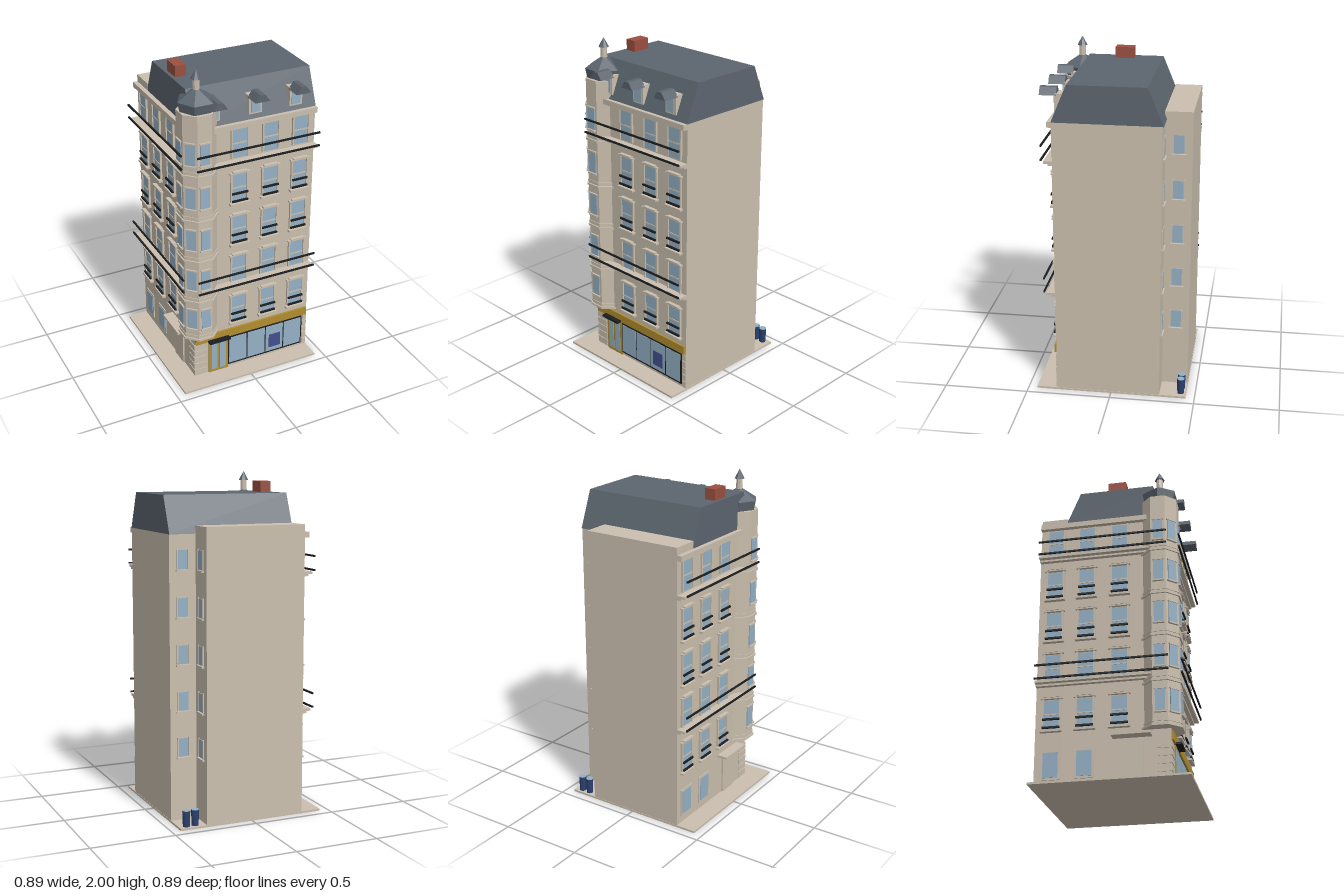
import * as THREE from 'three';

const mat = (name, color) => Object.assign(new THREE.MeshStandardMaterial({ color }), { name });

export function createModel() {
  const root = new THREE.Group();
  root.name = 'cornerBuilding';
  const stone = mat('stone', 0xcabfae), slate = mat('slate', 0x5c656f), glass = mat('glass', 0x94b0c4);
  const gold = mat('gold', 0xb08d2f), black = mat('black iron', 0x1c1e20), brick = mat('brick', 0x9a5040);
  const blue = mat('poster blue', 0x414f8e), navy = mat('bin navy', 0x2b4070);

  const add = (name, geo, m, x = 0, y = 0, z = 0) => {
    const mesh = new THREE.Mesh(geo, m);
    mesh.name = name;
    mesh.position.set(x, y, z);
    root.add(mesh);
    return mesh;
  };
  // Box from its min/max corners; left = true reflects it onto the left street side
  const box = (name, m, [x0, x1], [y0, y1], [z0, z1], left = false) => {
    if (left) [x0, x1, z0, z1] = [-z1, -z0, -x1, -x0];
    return add(name, new THREE.BoxGeometry(x1 - x0, y1 - y0, z1 - z0), m,
      (x0 + x1) / 2, (y0 + y1) / 2, (z0 + z1) / 2);
  };
  // Flat-sided drum
  const drum = (name, m, sides, rTop, rBottom, y0, y1, x, z, turn = 0) => {
    const g = new THREE.CylinderGeometry(rTop, rBottom, y1 - y0, sides).rotateY(turn).toNonIndexed();
    g.computeVertexNormals();
    return add(name, g, m, x, (y0 + y1) / 2, z);
  };
  // Prism with a z/y outline swept along x, or an x/y outline swept along z
  const prism = (name, m, points, from, to, alongX) => {
    const shape = new THREE.Shape(points.map(([a, b]) => new THREE.Vector2(alongX ? -a : a, b)));
    const g = new THREE.ExtrudeGeometry(shape, { depth: to - from, bevelEnabled: false });
    g.translate(0, 0, from);
    if (alongX) g.rotateY(Math.PI / 2);
    return add(name, g, m);
  };

  // Ground, main block and rear wing
  box('pavement', stone, [-0.447, 0.447], [0, 0.012], [-0.447, 0.447]);
  box('mainBlock', stone, [-0.325, 0.445], [0.01, 1.665], [-0.29, 0.325]);
  box('rearWing', stone, [-0.325, 0.285], [0.01, 1.71], [-0.445, -0.285]);

  // Mansard roof and chimney
  prism('mansardRoof', slate, [[0.33, 1.665], [0.24, 1.88], [-0.208, 1.88], [-0.297, 1.665]], -0.325, 0.445, true);
  box('chimney', brick, [-0.305, -0.24], [1.87, 1.945], [-0.04, 0.07]);

  // Dormers
  for (const x of [-0.195, 0.061, 0.317]) {
    box('dormer', stone, [x - 0.04, x + 0.04], [1.695, 1.805], [0.24, 0.325]);
    box('dormerGlass', glass, [x - 0.028, x + 0.028], [1.705, 1.79], [0.324, 0.329]);
    prism('dormerRoof', slate, [[x - 0.045, 1.795], [x + 0.045, 1.795], [x + 0.015, 1.837], [x - 0.015, 1.837]],
      0.313, 0.41, false);
  }

  // Street facades, the left one a reflection of the front
  const W = 0.325;
  const columns = [-0.037, 0.16, 0.352];
  const floors = [0.35, 0.63, 0.9, 1.17, 1.45];
  for (const left of [false, true]) {
    for (const x of columns) {
      floors.forEach((y, i) => {
        box('windowGlass', glass, [x - 0.045, x + 0.045], [y, y + 0.175], [W, W + 0.005], left);
        box('windowTransom', stone, [x - 0.045, x + 0.045], [y + 0.085, y + 0.093], [W, W + 0.008], left);
        for (const s of [-1, 1]) {
          const c = x + s * 0.05;
          box('windowJamb', stone, [c - 0.005, c + 0.005], [y, y + 0.18], [W, W + 0.012], left);
        }
        if (i === 4) return;
        box('windowHood', stone, [x - 0.063, x + 0.063], [y + 0.18, y + 0.188], [W, W + 0.018], left);
        box('windowHoodTop', stone, [x - 0.045, x + 0.045], [y + 0.188, y + 0.196], [W, W + 0.022], left);
        if (i === 1) return;
        box('windowSill', stone, [x - 0.062, x + 0.062], [y - 0.018, y - 0.006], [W, W + 0.025], left);
        for (const r of [0.003, 0.052])
          box('windowRail', black, [x - 0.05, x + 0.05], [y + r, y + r + 0.011], [W + 0.012, W + 0.022], left);
      });
      // Short rails above the lower long balcony are replaced by its continuous ones
    }
    // Long balconies
    for (const y of [0.62, 1.425]) {
      box('balconySlab', stone, [-0.325, 0.445], [y, y + 0.014], [W - 0.01, 0.377], left);
      box('balconyBracket', stone, [-0.325, 0.445], [y - 0.012, y], [W - 0.01, 0.35], left);
      for (const r of [0.016, 0.097])
        box('balconyRail', black, [-0.325, 0.445], [y + r, y + r + 0.01], [0.386, 0.395], left);
    }
    // Cornice
    box('cornice', stone, [-0.325, 0.445], [1.635, 1.667], [W - 0.01, 0.353], left);
  }

  // Corner turret
  const T = [-0.275, 0.275], A = 0.105, k = 1 / Math.cos(Math.PI / 8);
  const ring = (name, m, a, y0, y1) => drum(name, m, 8, a * k, a * k, y0, y1, ...T, Math.PI / 8);
  ring('turretShaft', stone, A, 0.315, 1.77);
  for (const y of [0.31, 0.573, 0.85, 1.115, 1.4]) {
    ring('turretBand', stone, A + 0.009, y, y + 0.012);
    ring('turretUpperBand', stone, A + 0.004, y + 0.025, y + 0.035);
  }
  for (const y of [0.395, 0.665, 0.935, 1.205, 1.475]) {
    for (const a of [0, -Math.PI / 4, -Math.PI / 2]) {
      const place = (name, m, w, h, d, cy) => {
        const r = A + d / 2;
        add(name, new THREE.BoxGeometry(w, h, d), m, T[0] + Math.sin(a) * r, cy, T[1] + Math.cos(a) * r).rotation.y = a;
      };
      place('turretGlass', glass, 0.056, 0.128, 0.006, y + 0.064);
      place('turretSill', stone, 0.068, 0.009, 0.014, y - 0.006);
      place('turretLintel', stone, 0.066, 0.008, 0.01, y + 0.132);
    }
  }
  drum('turretEaves', slate, 6, 0.112, 0.095, 1.745, 1.825, ...T, Math.PI / 2);
  drum('turretRoof', slate, 6, 0.02, 0.112, 1.825, 1.885, ...T, Math.PI / 2);
  drum('lantern', stone, 8, 0.019, 0.019, 1.87, 1.95, ...T);
  drum('lanternCap', slate, 8, 0, 0.03, 1.945, 2, ...T);

  // Shop front
  box('shopSign', gold, [-0.322, 0.438], [0.245, 0.297], [W - 0.01, 0.338]);
  box('shopFrame', black, [-0.105, 0.412], [0.03, 0.238], [W - 0.01, 0.331]);
  for (let i = 0; i < 4; i++) {
    const x = -0.097 + i * 0.127;
    box('shopGlass', glass, [x, x + 0.119], [0.042, 0.228], [0.33, 0.334]);
  }
  box('poster', blue, [0.178, 0.257], [0.07, 0.165], [0.333, 0.337]);
  box('shopDoorFrame', gold, [-0.235, -0.105], [0.012, 0.245], [W - 0.01, 0.333]);
  for (const x of [-0.22, -0.163])
    box('shopDoorGlass', glass, [x, x + 0.042], [0.03, 0.225], [0.332, 0.336]);
  box('doorCanopy', black, [-0.243, -0.105], [0.245, 0.257], [W, 0.37]);

  // Corner blocks along the ground floor
  for (let i = 0; i < 5; i++) {
    const y = 0.02 + i * 0.045;
    box('cornerBlock', stone, [-0.33, -0.25], [y, y + 0.038], [0.25, 0.33]);
    box('endBlock', stone, [0.418, 0.445], [y, y + 0.038], [0.3, 0.33]);
  }

  // Left side ground floor: two windows, side door and its canopy
  for (const x of [0.16, 0.352]) {
    box('sideWindowFrame', stone, [x - 0.055, x + 0.055], [0.055, 0.225], [W - 0.01, 0.331], true);
    box('sideWindowGlass', glass, [x - 0.043, x + 0.043], [0.068, 0.213], [0.33, 0.334], true);
  }
  box('sideDoor', stone, [-0.17, -0.05], [0.012, 0.25], [W - 0.01, 0.334], true);
  box('sideCanopy', stone, [-0.22, 0], [0.27, 0.284], [W - 0.01, 0.39], true);

  // Courtyard windows on the wing and the rear wall
  for (const y of [0.39, 0.66, 0.93, 1.2, 1.47]) {
    box('wingGlass', glass, [0.285, 0.29], [y, y + 0.106], [-0.397, -0.338]);
    box('wingSill', stone, [0.28, 0.299], [y - 0.013, y - 0.004], [-0.41, -0.326]);
    box('rearGlass', glass, [0.336, 0.395], [y, y + 0.106], [-0.295, -0.29]);
    box('rearSill', stone, [0.324, 0.408], [y - 0.013, y - 0.004], [-0.304, -0.285]);
    for (const s of [-1, 1]) {
      const z = -0.3675 + s * 0.034, x = 0.3655 + s * 0.034;
      box('wingJamb', stone, [0.285, 0.293], [y, y + 0.112], [z - 0.004, z + 0.004]);
      box('rearJamb', stone, [x - 0.004, x + 0.004], [y, y + 0.112], [-0.298, -0.29]);
    }
  }

  // Bins
  for (const x of [0.347, 0.401]) {
    drum('bin', navy, 10, 0.023, 0.02, 0.012, 0.105, x, -0.415);
    drum('binTop', glass, 10, 0.022, 0.022, 0.105, 0.108, x, -0.415);
  }
  return root;
}
